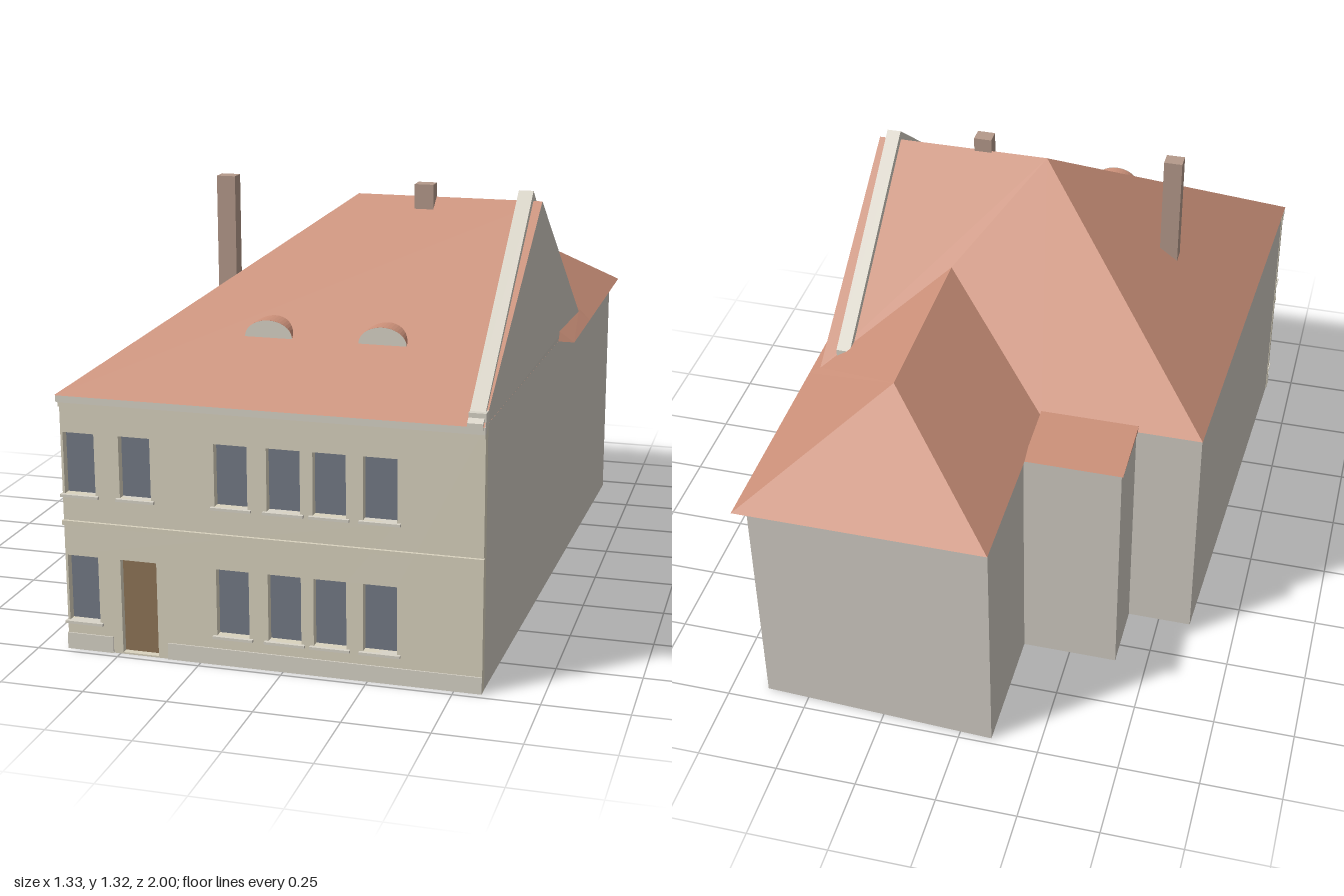
import * as THREE from 'three';

const mat = (color) => new THREE.MeshStandardMaterial({ color, side: THREE.DoubleSide, flatShading: true });
const M = {
  wall: mat(0xd0cbc2), front: mat(0xdad3bf), trim: mat(0xd9d4c8), roof: mat(0xcb9079),
  chimney: mat(0xb59a8b), glass: mat(0x747a86), door: mat(0x8f7558),
};

export function createModel() {
  const house = new THREE.Group();
  house.name = 'house';

  const add = (name, geometry, material) => {
    const mesh = new THREE.Mesh(geometry, material);
    mesh.name = name;
    house.add(mesh);
    return mesh;
  };
  // Box given by its extents
  const box = (name, x0, x1, y0, y1, z0, z1, material) => {
    const g = new THREE.BoxGeometry(x1 - x0, y1 - y0, z1 - z0);
    g.translate((x0 + x1) / 2, (y0 + y1) / 2, (z0 + z1) / 2);
    return add(name, g, material);
  };
  // Flat polygons, each split as a fan from its first corner
  const polys = (name, faces, material) => {
    const pos = [];
    for (const f of faces)
      for (let i = 1; i < f.length - 1; i++) pos.push(...f[0], ...f[i], ...f[i + 1]);
    const g = new THREE.BufferGeometry();
    g.setAttribute('position', new THREE.Float32BufferAttribute(pos, 3));
    g.computeVertexNormals();
    return add(name, g, material);
  };

  const eave = 0.78;

  // Wall body: stepped footprint raised to the eaves
  const plan = [
    [-0.66, 0.945], [0.58, 0.945], [0.635, -0.95], [-0.1, -0.98],
    [-0.1, -0.57], [-0.4, -0.57], [-0.4, -0.355], [-0.603, -0.355],
  ];
  const footprint = new THREE.Shape(plan.map(([x, z]) => new THREE.Vector2(x, -z)));
  const body = new THREE.ExtrudeGeometry(footprint, { depth: eave - 0.002, bevelEnabled: false });
  body.rotateX(-Math.PI / 2);
  add('walls', body, M.wall);

  // Front wall with window and door openings
  const columns = [[-0.655, -0.56], [-0.485, -0.39], [-0.198, -0.1], [-0.043, 0.055], [0.092, 0.188], [0.237, 0.335]];
  const openings = [];
  columns.forEach(([a, b], i) => {
    openings.push([a, b, 0.48, 0.665]);
    if (i !== 1) openings.push([a, b, 0.09, 0.292]);
  });
  const door = [-0.491, -0.38, 0.005, 0.292];
  const rect = (C, [a, b, c, d]) => new C([[a, c], [b, c], [b, d], [a, d]].map((p) => new THREE.Vector2(...p)));
  const facade = rect(THREE.Shape, [-0.662, 0.58, 0, eave - 0.002]);
  [...openings, door].forEach((o) => facade.holes.push(rect(THREE.Path, o)));
  const facadeGeo = new THREE.ExtrudeGeometry(facade, { depth: 0.03, bevelEnabled: false });
  facadeGeo.translate(0, 0, 0.945);
  add('frontWall', facadeGeo, M.front);
  for (const [a, b, c, d] of openings) {
    box('windowPane', a, b, c, d, 0.94, 0.95, M.glass);
    box('windowSill', a - 0.011, b + 0.011, c - 0.008, c, 0.95, 0.986, M.trim);
  }
  box('door', ...door, 0.94, 0.955, M.door);

  // Plinth and horizontal mouldings
  box('plinthLeft', -0.664, -0.52, 0, 0.05, 0.97, 0.979, M.trim);
  box('plinthRight', -0.35, 0.58, 0, 0.05, 0.97, 0.979, M.trim);
  box('stringCourse', -0.664, 0.582, 0.386, 0.4, 0.97, 0.984, M.front);
  box('corniceLower', -0.664, 0.58, 0.742, 0.758, 0.97, 0.981, M.front);
  box('corniceUpper', -0.664, 0.582, 0.758, eave - 0.001, 0.97, 0.994, M.trim);

  // Main roof: hipped on the right-hand side of the model, gabled on its left
  const FL = [-0.665, eave, 1], FR = [0.58, eave, 1], BL = [-0.605, eave, -0.36];
  const R0 = [0.045, 1.28, 0.32], R1 = [0.604, 1.28, 0.32];
  const V0 = [-0.105, eave, -0.36], V1 = [0.275, 1.04, -0.01], V2 = [0.622, 0.807, -0.32];
  polys('mainRoof', [
    [FL, FR, R1, R0],
    [BL, FL, R0],
    [R0, R1, V2, V1, V0, BL],
    [FL, BL, [0.62, eave, -0.36], FR],
  ], M.roof);

  // Gable wall under the main roof
  polys('gableWall', [
    [[0.58, eave - 0.003, 0.975], [0.619, eave - 0.003, -0.34], V2, R1, [0.58, eave + 0.015, 0.975]],
  ], M.wall);

  // Rear wing roof with hipped end
  const W0 = [-0.105, eave, -1], W1 = [0.66, eave, -1], WR = [0.275, 1.04, -0.62];
  const E0 = [0.66, eave, -0.32], E1 = [0.66, eave, 0], E2 = [0.608, 0.815, 0];
  polys('wingRoof', [
    [W0, V0, V1, WR],
    [W1, W0, WR],
    [WR, V1, V2, E0, W1],
    [V2, E2, E1, E0],
    [E2, [0.608, eave, 0], E1],
    [W0, W1, E1, [0.6, eave, 0], V0],
  ], M.roof);

  // Low roof over the small annex
  polys('annexRoof', [
    [[-0.405, eave, -0.575], [-0.405, 0.792, -0.345], [-0.1, 0.792, -0.345], [-0.1, eave, -0.575]],
    [[-0.405, eave, -0.575], [-0.405, eave, -0.345], [-0.405, 0.792, -0.345]],
  ], M.roof);

  // Raised coping that follows both slopes beside the gable
  const coping = new THREE.Shape([
    [-1, 0.77], [-1, 0.79], [-0.32, 1.31], [0.285, 0.86], [0.285, 0.83], [-0.32, 1.275],
  ].map((p) => new THREE.Vector2(...p)));
  const copingGeo = new THREE.ExtrudeGeometry(coping, { depth: 0.044, bevelEnabled: false });
  copingGeo.rotateY(Math.PI / 2);
  copingGeo.translate(0.533, 0, 0);
  add('gableCoping', copingGeo, M.trim);
  box('copingFoot', 0.533, 0.582, 0.775, 0.815, 0.945, 0.985, M.trim);

  // Half-round dormers
  for (const x of [-0.092, 0.243]) {
    const arch = new THREE.Shape();
    arch.absellipse(0, 0, 0.07, 0.05, 0, Math.PI, false);
    const hood = new THREE.ExtrudeGeometry(arch, { depth: 0.1, bevelEnabled: false, curveSegments: 10 });
    add('dormerHood', hood, M.roof).position.set(x, 0.935, 0.688);
    add('dormerFront', new THREE.ShapeGeometry(arch, 10), M.trim).position.set(x, 0.935, 0.79);
  }

  // Chimneys
  box('tallChimney', -0.392, -0.334, 0.95, 1.322, 0.315, 0.363, M.chimney);
  box('ridgeChimney', 0.228, 0.285, 1.245, 1.322, 0.315, 0.363, M.chimney);

  return house;
}
